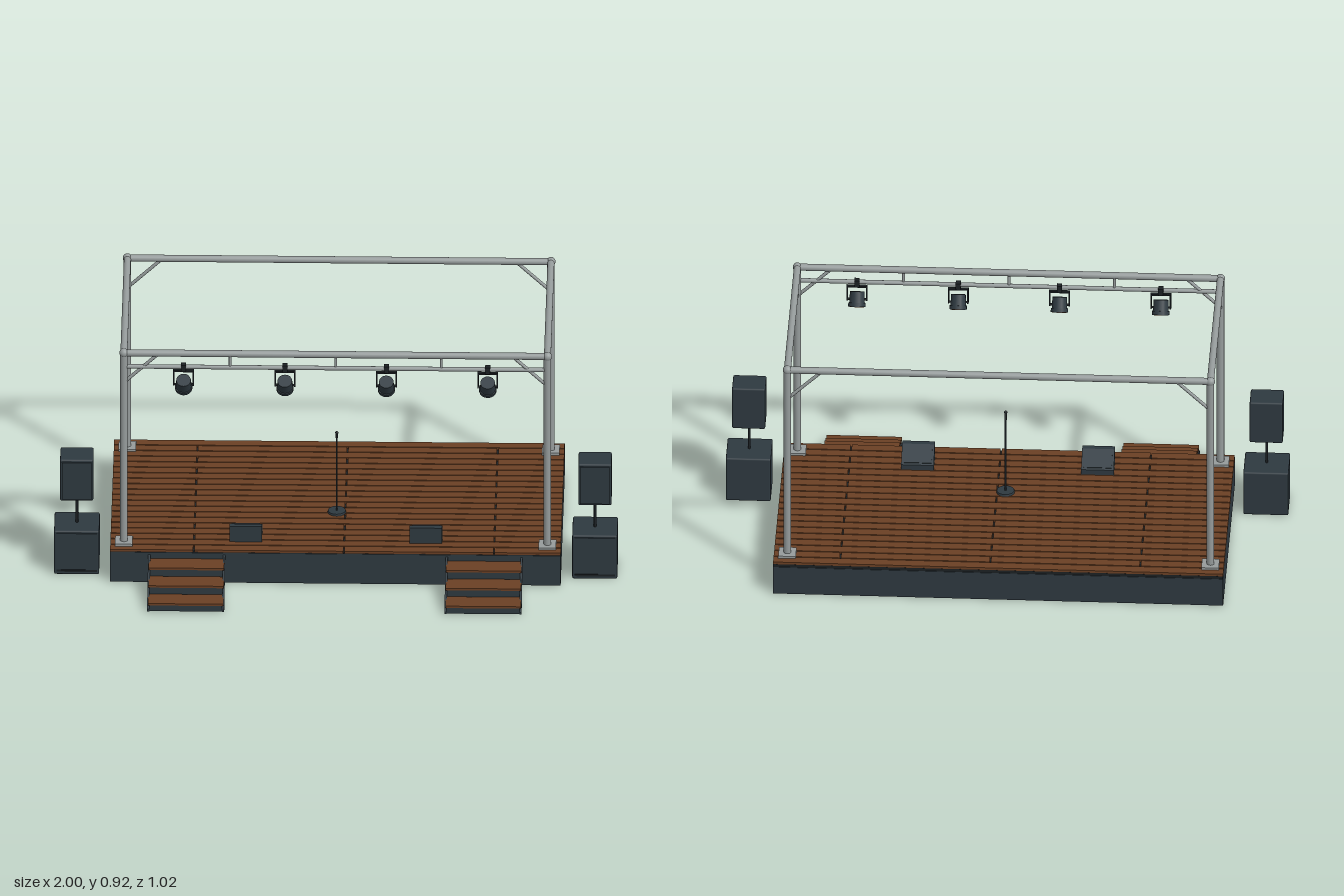
import * as THREE from 'three';
import { RoundedBoxGeometry } from 'three/addons/geometries/RoundedBoxGeometry.js';

const mat = (name, color) => {
  const m = new THREE.MeshStandardMaterial({ color });
  m.name = name;
  return m;
};

export function createModel() {
  const wood = mat('wood', 0x6b4024);
  const steel = mat('steel', 0x969c9c);
  const charcoal = mat('charcoal', 0x2e3940);
  const black = mat('black', 0x1b2023);
  const amber = mat('amberLens', 0x8a4a20);

  const root = new THREE.Group();
  root.name = 'concertStage';

  const group = (name, parent = root) => {
    const g = new THREE.Group();
    g.name = name;
    parent.add(g);
    return g;
  };
  const add = (parent, name, geo, material, x = 0, y = 0, z = 0) => {
    const m = new THREE.Mesh(geo, material);
    m.name = name;
    m.position.set(x, y, z);
    parent.add(m);
    return m;
  };
  // Box given by its min and max on each axis
  const box = (parent, name, material, x0, x1, y0, y1, z0, z1) =>
    add(parent, name, new THREE.BoxGeometry(x1 - x0, y1 - y0, z1 - z0), material,
      (x0 + x1) / 2, (y0 + y1) / 2, (z0 + z1) / 2);
  const softBox = (parent, name, material, x0, x1, y0, y1, z0, z1, r = 0.006) =>
    add(parent, name, new RoundedBoxGeometry(x1 - x0, y1 - y0, z1 - z0, 2, r), material,
      (x0 + x1) / 2, (y0 + y1) / 2, (z0 + z1) / 2);
  // Round bar between two points
  const bar = (parent, name, material, a, b, r, sides = 14) => {
    const p = new THREE.Vector3(...a), q = new THREE.Vector3(...b);
    const d = q.clone().sub(p);
    const m = add(parent, name, new THREE.CylinderGeometry(r, r, d.length(), sides), material);
    m.position.copy(p).add(q).multiplyScalar(0.5);
    m.quaternion.setFromUnitVectors(new THREE.Vector3(0, 1, 0), d.normalize());
    return m;
  };

  const W = 0.8, ZB = -0.51, ZF = 0.295, DECK = 0.13;

  // Platform: hollow skirt under a dark deck
  const platform = group('platform');
  box(platform, 'subDeck', black, -W, W, 0.108, 0.121, ZB + 0.002, ZF - 0.002);
  box(platform, 'frontSkirt', charcoal, -W, W, 0, 0.12, ZF - 0.015, ZF);
  box(platform, 'backSkirt', charcoal, -W, W, 0, 0.11, ZB, ZB + 0.02);
  for (const s of [-1, 1]) {
    const x = s * (W - 0.01);
    box(platform, 'sideSkirt', charcoal, x - 0.01, x + 0.01, 0, 0.119, ZB + 0.02, ZF - 0.015);
  }

  // Floor boards, every other row cut at three joints
  const floor = group('floorBoards');
  const rows = 20, pitch = (ZF - ZB) / rows, gap = 0.0045;
  for (let i = 0; i < rows; i++) {
    const z0 = ZB + i * pitch + gap / 2, z1 = z0 + pitch - gap;
    const cuts = i % 2 ? [-W, -0.503, 0.03, 0.563, W] : [-W, W];
    for (let k = 0; k + 1 < cuts.length; k++)
      box(floor, 'board', wood,
        cuts[k] + (k ? gap / 2 : 0), cuts[k + 1] - (k + 2 < cuts.length ? gap / 2 : 0),
        0.12, DECK, z0, z1);
  }

  // Two flights of three steps with sloping side rails
  for (const s of [-1, 1]) {
    const stairs = group(s > 0 ? 'leftStairs' : 'rightStairs');
    const cx = s * 0.528, h = 0.137;
    for (let i = 0; i < 3; i++) {
      const z1 = 0.51 - i * 0.0717, z0 = z1 - 0.0717, top = 0.032 + i * 0.0325;
      box(stairs, 'stepBlock', charcoal, cx - h + 0.008, cx + h - 0.008, 0, top - 0.008, z0, z1 - 0.003);
      box(stairs, 'tread', wood, cx - h + 0.003, cx + h - 0.003, top - 0.008, top, z0 + 0.002, z1);
    }
    const rail = new THREE.Shape([
      new THREE.Vector2(0.51, 0), new THREE.Vector2(0.51, 0.009),
      new THREE.Vector2(0.295, 0.112), new THREE.Vector2(0.295, 0.098),
      new THREE.Vector2(0.49, 0),
    ]);
    for (const e of [-1, 1]) {
      const geo = new THREE.ExtrudeGeometry(rail, { depth: 0.008, bevelEnabled: false });
      geo.rotateY(-Math.PI / 2);
      add(stairs, 'stringer', geo, charcoal, cx + e * (h - 0.004) + 0.004, 0, 0);
    }
  }

  // Truss frame
  const truss = group('truss');
  const PX = 0.752, PF = 0.24, PB = -0.451, TOP = 0.9;
  for (const x of [-PX, PX]) {
    for (const z of [PF, PB]) {
      bar(truss, 'post', steel, [x, DECK, z], [x, TOP, z], 0.0135, 18);
      box(truss, 'basePlate', steel, x - 0.031, x + 0.031, DECK, DECK + 0.009, z - 0.031, z + 0.031);
      add(truss, 'cornerJoint', new THREE.SphereGeometry(0.0165, 16, 10), steel, x, TOP, z);
      const sx = Math.sign(x), sz = Math.sign(z);
      bar(truss, 'crossBrace', steel, [x, 0.78, z], [x - sx * 0.115, 0.89, z], 0.006, 10);
      bar(truss, 'sideBrace', steel, [x, 0.775, z], [x, 0.888, z - sz * 0.117], 0.006, 10);
    }
    bar(truss, 'sideBeam', steel, [x, TOP, PB], [x, TOP, PF], 0.0125, 18);
  }
  for (const z of [PF, PB])
    bar(truss, 'crossBeam', steel, [-PX, TOP, z], [PX, TOP, z], 0.0125, 18);
  bar(truss, 'lightingBar', steel, [-PX, 0.845, PF], [PX, 0.845, PF], 0.008);
  for (const x of [-0.375, 0, 0.375])
    bar(truss, 'trussUpright', steel, [x, 0.845, PF], [x, TOP, PF], 0.005, 10);

  // Stage lights aimed down and back at the stage
  for (const x of [-0.54, -0.18, 0.18, 0.54]) {
    const lamp = group('stageLight');
    lamp.position.set(x, 0.774, 0.238);
    box(lamp, 'yokeTop', black, -0.037, 0.037, 0.051, 0.057, -0.006, 0.006);
    box(lamp, 'clamp', black, -0.009, 0.009, 0.055, 0.082, -0.011, 0.011);
    for (const s of [-1, 1])
      box(lamp, 'yokeArm', black, s * 0.0345 - 0.0025, s * 0.0345 + 0.0025, -0.004, 0.057, -0.006, 0.006);
    const head = group('lampHead', lamp);
    head.rotation.x = 0.52;
    add(head, 'housing', new THREE.CylinderGeometry(0.026, 0.028, 0.05, 18), charcoal, 0, 0.002, 0);
    add(head, 'rim', new THREE.CylinderGeometry(0.031, 0.031, 0.014, 18), charcoal, 0, -0.02, 0);
    add(head, 'lens', new THREE.CylinderGeometry(0.026, 0.026, 0.004, 18), amber, 0, -0.0265, 0);
    bar(head, 'pivot', black, [-0.036, 0, 0], [0.036, 0, 0], 0.004, 8);
  }

  // Speaker stacks beside the stage
  for (const s of [-1, 1]) {
    const stack = group(s > 0 ? 'leftSpeakers' : 'rightSpeakers');
    stack.position.x = s * 0.92;
    softBox(stack, 'subwoofer', charcoal, -0.08, 0.08, 0, 0.176, 0.103, 0.246);
    box(stack, 'subGrille', charcoal, -0.072, 0.072, 0.022, 0.168, 0.245, 0.25);
    box(stack, 'subTrim', black, -0.072, 0.072, 0.012, 0.02, 0.245, 0.248);
    bar(stack, 'pole', black, [0, 0.17, 0.177], [0, 0.29, 0.177], 0.005, 12);
    softBox(stack, 'topSpeaker', charcoal, -0.059, 0.059, 0.286, 0.453, 0.128, 0.224);
    box(stack, 'topGrille', charcoal, -0.052, 0.052, 0.295, 0.444, 0.223, 0.229);
  }

  // Wedge monitors, baffle sloping towards the performer
  const wedge = new THREE.Shape([
    new THREE.Vector2(0.135, DECK), new THREE.Vector2(0.23, DECK),
    new THREE.Vector2(0.23, 0.192), new THREE.Vector2(0.21, 0.192),
    new THREE.Vector2(0.135, 0.15),
  ]);
  for (const x of [-0.32, 0.32]) {
    const geo = new THREE.ExtrudeGeometry(wedge, { depth: 0.116, bevelEnabled: false });
    geo.rotateY(-Math.PI / 2);
    const monitor = group('floorMonitor');
    add(monitor, 'monitorCase', geo, charcoal, x + 0.058, 0, 0);
    const grille = add(monitor, 'monitorGrille', new THREE.BoxGeometry(0.1, 0.004, 0.07), charcoal,
      x, 0.172, 0.1722);
    grille.rotation.x = -Math.atan2(0.042, 0.075);
  }

  // Microphone on its stand
  const mic = group('microphoneStand');
  add(mic, 'micBase', new THREE.CylinderGeometry(0.031, 0.033, 0.007, 24), charcoal, 0, DECK + 0.0035, 0.005);
  bar(mic, 'micPole', charcoal, [0, DECK, 0.005], [0, 0.435, 0.005], 0.0032, 10);
  bar(mic, 'microphone', black, [0, 0.431, 0.003], [0, 0.457, 0.0145], 0.0045, 12);
  add(mic, 'micHead', new THREE.SphereGeometry(0.006, 12, 8), black, 0, 0.457, 0.0145);

  return root;
}
